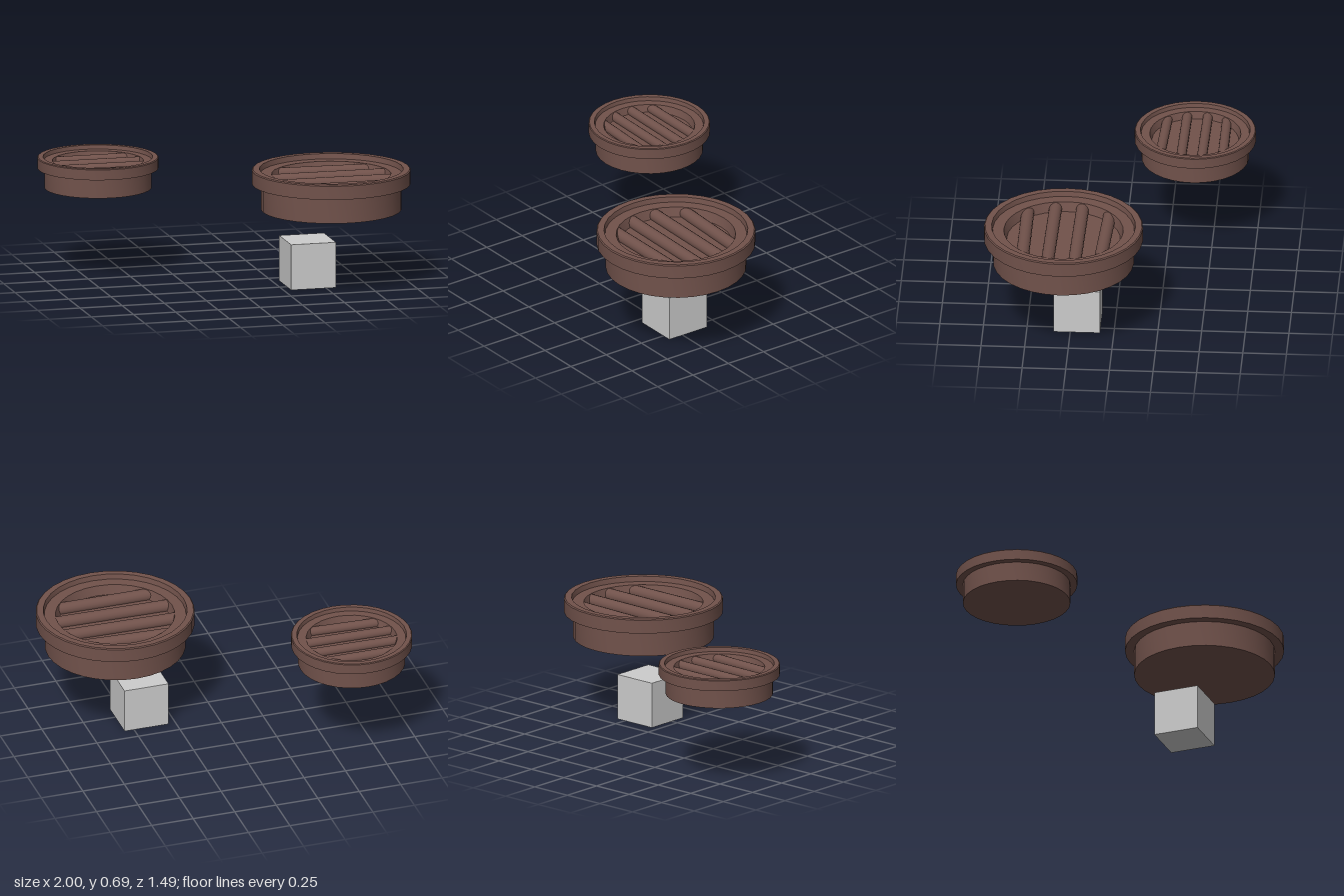
import * as THREE from 'three';
import { toCreasedNormals } from 'three/addons/utils/BufferGeometryUtils.js';

export function createModel() {
  const model = new THREE.Group();
  model.name = 'roundVents';

  const brown = new THREE.MeshStandardMaterial({ color: 0x71524b });
  brown.name = 'brown';
  const grey = new THREE.MeshStandardMaterial({ color: 0xcccccc });
  grey.name = 'light grey';

  // Housing section: closed base, overhanging rim, sunken ledge and floor
  const profile = [
    [0, 0], [0.403, 0], [0.403, 0.15], [0.455, 0.15], [0.455, 0.229],
    [0.449, 0.235], [0.412, 0.235], [0.406, 0.205], [0.342, 0.205],
    [0.325, 0.15], [0, 0.15],
  ].map(([r, y]) => new THREE.Vector2(r, y));
  const housingGeometry = toCreasedNormals(new THREE.LatheGeometry(profile, 32), 0.5);

  // Slats: [z, turn], each running under the ledge at both ends
  const slats = [[-0.237, -0.045], [-0.085, -0.015], [0.07, -0.015], [0.221, 0]];

  function vent(name, x, y, z, scale, turn) {
    const group = new THREE.Group();
    group.name = name;
    const housing = new THREE.Mesh(housingGeometry, brown);
    housing.name = 'housing';
    group.add(housing);
    for (const [slatZ, angle] of slats) {
      const length = 2 * Math.sqrt(0.37 ** 2 - slatZ ** 2);
      const geometry = new THREE.CylinderGeometry(0.037, 0.037, length, 16);
      geometry.rotateZ(Math.PI / 2);
      const slat = new THREE.Mesh(geometry, brown);
      slat.name = 'slat';
      slat.position.set(0, 0.165, slatZ);
      slat.rotation.y = angle;
      group.add(slat);
    }
    group.position.set(x, y, z);
    group.scale.setScalar(scale);
    group.rotation.y = turn;
    model.add(group);
  }

  vent('largeVent', 0.545, 0.45, 0.289, 1, 0);
  vent('smallVent', -0.653, 0.501, -0.397, 0.763, Math.PI);

  // Plain block on the ground
  const block = new THREE.Mesh(new THREE.BoxGeometry(0.265, 0.265, 0.265), grey);
  block.name = 'block';
  block.position.set(0.425, 0.1325, 0.212);
  model.add(block);

  return model;
}
